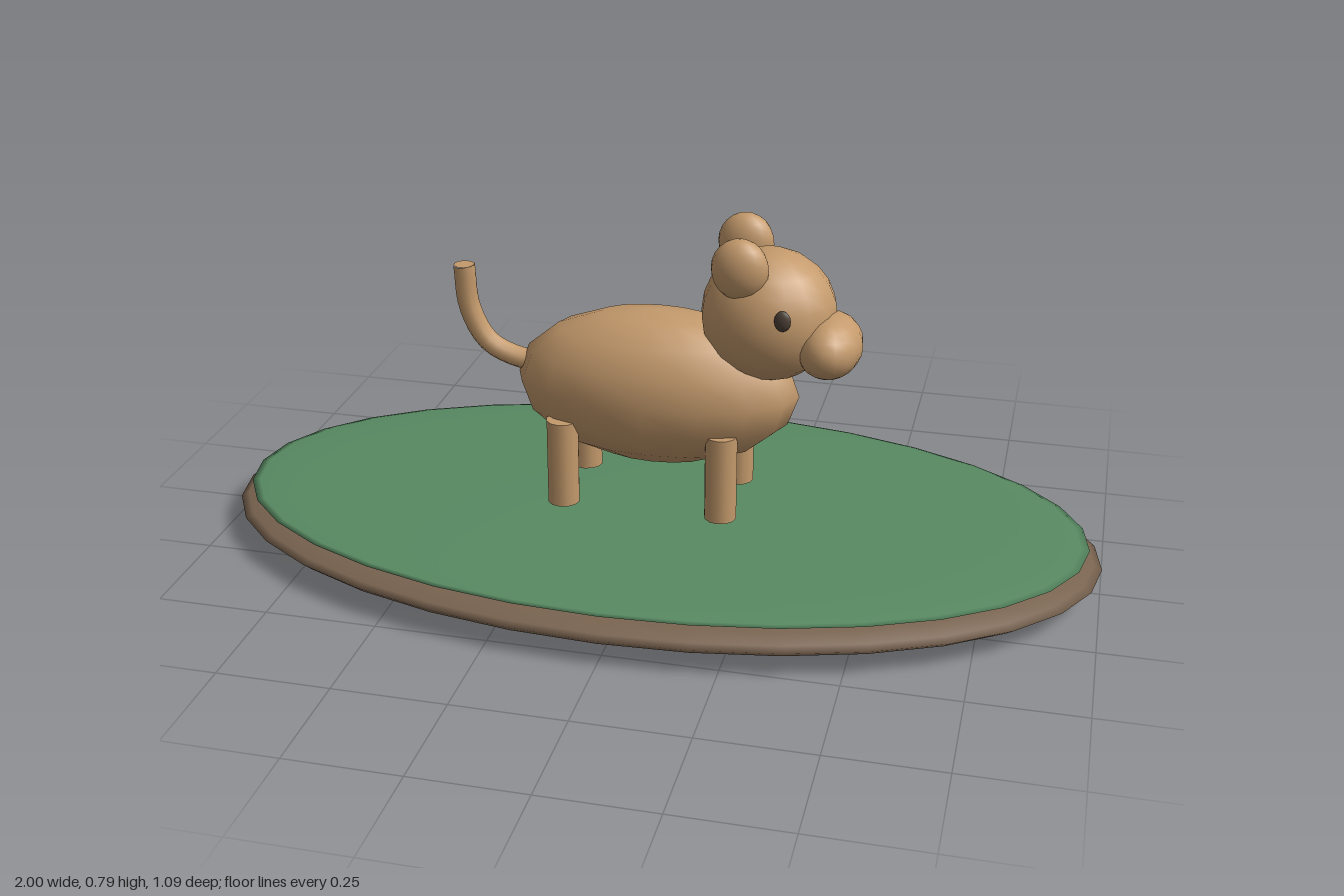
import * as THREE from 'three';

const mat = (name, color) => {
  const m = new THREE.MeshStandardMaterial({ color });
  m.name = name;
  return m;
};

export function createModel() {
  const model = new THREE.Group();
  model.name = 'dogOnOvalBase';
  const tan = mat('tan fur', 0xc49a6c);
  const green = mat('grass green', 0x588a62);
  const brown = mat('earth brown', 0x7a6450);
  const dark = mat('dark eye', 0x4d4237);

  const add = (name, geometry, material, x = 0, y = 0, z = 0) => {
    const mesh = new THREE.Mesh(geometry, material);
    mesh.name = name;
    mesh.position.set(x, y, z);
    model.add(mesh);
    return mesh;
  };
  // Ellipsoid from centre and radii
  const ellipsoid = (name, material, [x, y, z], [rx, ry, rz], w = 16, h = 12) =>
    add(name, new THREE.SphereGeometry(1, w, h).scale(rx, ry, rz), material, x, y, z);

  // Oval base with a thin grass layer
  ellipsoid('earthBase', brown, [0, 0.06, 0], [1, 0.06, 0.545], 32, 16);
  ellipsoid('grassTop', green, [0, 0.104, 0], [0.97, 0.018, 0.52], 32, 16);

  // Body and head, facing +x
  ellipsoid('body', tan, [0, 0.404, 0], [0.32, 0.178, 0.157], 16, 8);
  ellipsoid('head', tan, [0.25, 0.598, 0.008], [0.149, 0.147, 0.134]);
  ellipsoid('muzzle', tan, [0.387, 0.549, 0.036], [0.072, 0.07, 0.103]);
  ellipsoid('leftEar', tan, [0.18, 0.725, -0.079], [0.062, 0.067, 0.041]);
  ellipsoid('rightEar', tan, [0.2, 0.725, 0.094], [0.062, 0.067, 0.041]);
  ellipsoid('eye', dark, [0.3, 0.632, 0.133], [0.018, 0.023, 0.01], 12, 8);

  // Four legs
  for (const x of [-0.192, 0.167])
    for (const z of [-0.099, 0.1])
      add(x < 0 ? 'hindLeg' : 'foreLeg',
        new THREE.CylinderGeometry(0.036, 0.036, 0.2, 12), tan, x, 0.241, z);

  // Tail sweeping back and then up, with a closed tip
  const path = new THREE.CatmullRomCurve3([
    new THREE.Vector3(-0.25, 0.43, -0.005),
    new THREE.Vector3(-0.32, 0.435, -0.004),
    new THREE.Vector3(-0.39, 0.47, 0),
    new THREE.Vector3(-0.43, 0.55, 0.005),
    new THREE.Vector3(-0.438, 0.652, 0.01),
  ]);
  add('tail', new THREE.TubeGeometry(path, 16, 0.024, 10), tan);
  add('tailTip', new THREE.CircleGeometry(0.024, 10).rotateX(-Math.PI / 2), tan,
    -0.438, 0.652, 0.01);

  return model;
}
